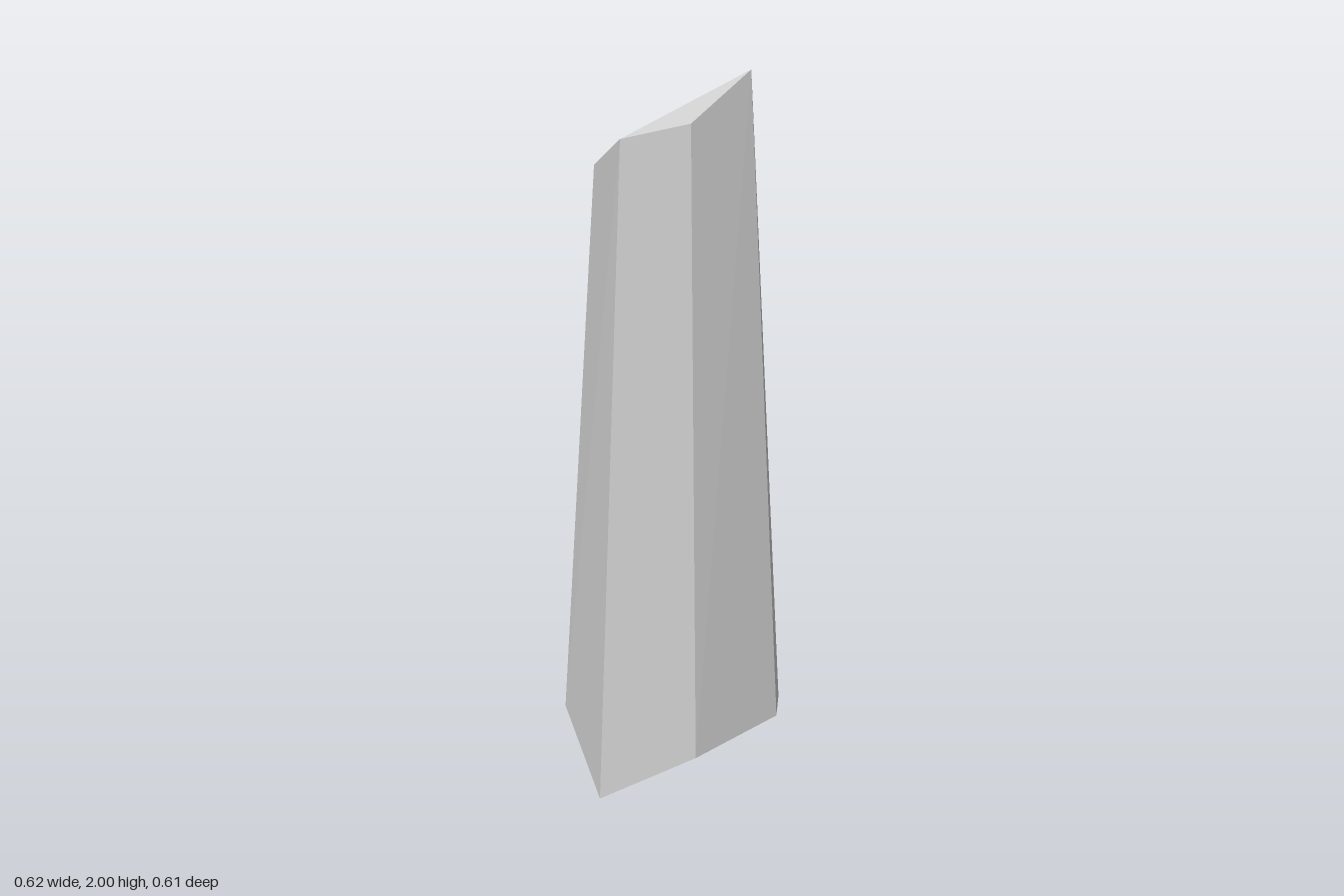
import * as THREE from 'three';

// Corners of the two slanted seven-sided ends, clockwise seen from above.
const base = [
  [-0.015, 0.232, -0.307], [0.237, 0.23, -0.198], [0.31, 0.185, 0.068], [0.147, 0.215, 0.292],
  [-0.13, 0.145, 0.305], [-0.311, 0, 0.096], [-0.262, 0.187, -0.177],
];
const tip = [
  [-0.014, 1.74, -0.215], [0.168, 1.845, -0.138], [0.219, 1.88, 0.052], [0.104, 2, 0.211],
  [-0.093, 1.865, 0.22], [-0.222, 1.82, 0.072], [-0.188, 1.735, -0.122],
];

function facetMesh(name, triangles) {
  const geometry = new THREE.BufferGeometry();
  geometry.setAttribute('position', new THREE.Float32BufferAttribute(triangles.flat(2), 3));
  geometry.computeVertexNormals();
  const mesh = new THREE.Mesh(geometry, new THREE.MeshStandardMaterial({ color: 0xcccccc, flatShading: true }));
  mesh.name = name;
  return mesh;
}

// Fan of triangles from one corner of a ring.
function fan(ring, start, up) {
  const n = ring.length;
  const triangles = [];
  for (let k = 1; k < n - 1; k++) {
    const a = ring[(start + k) % n], b = ring[(start + k + 1) % n];
    triangles.push(up ? [ring[start], b, a] : [ring[start], a, b]);
  }
  return triangles;
}

export function createModel() {
  const group = new THREE.Group();
  group.name = 'taperedShard';

  // Tapering side facets
  const sides = [];
  base.forEach((b, i) => {
    const j = (i + 1) % base.length;
    sides.push([base[j], b, tip[i]], [base[j], tip[i], tip[j]]);
  });
  group.add(facetMesh('sideFacets', sides));

  // Slanted, slightly broken end faces
  group.add(facetMesh('topFace', fan(tip, 5, true)));
  group.add(facetMesh('bottomFace', fan(base, 6, false)));
  return group;
}
